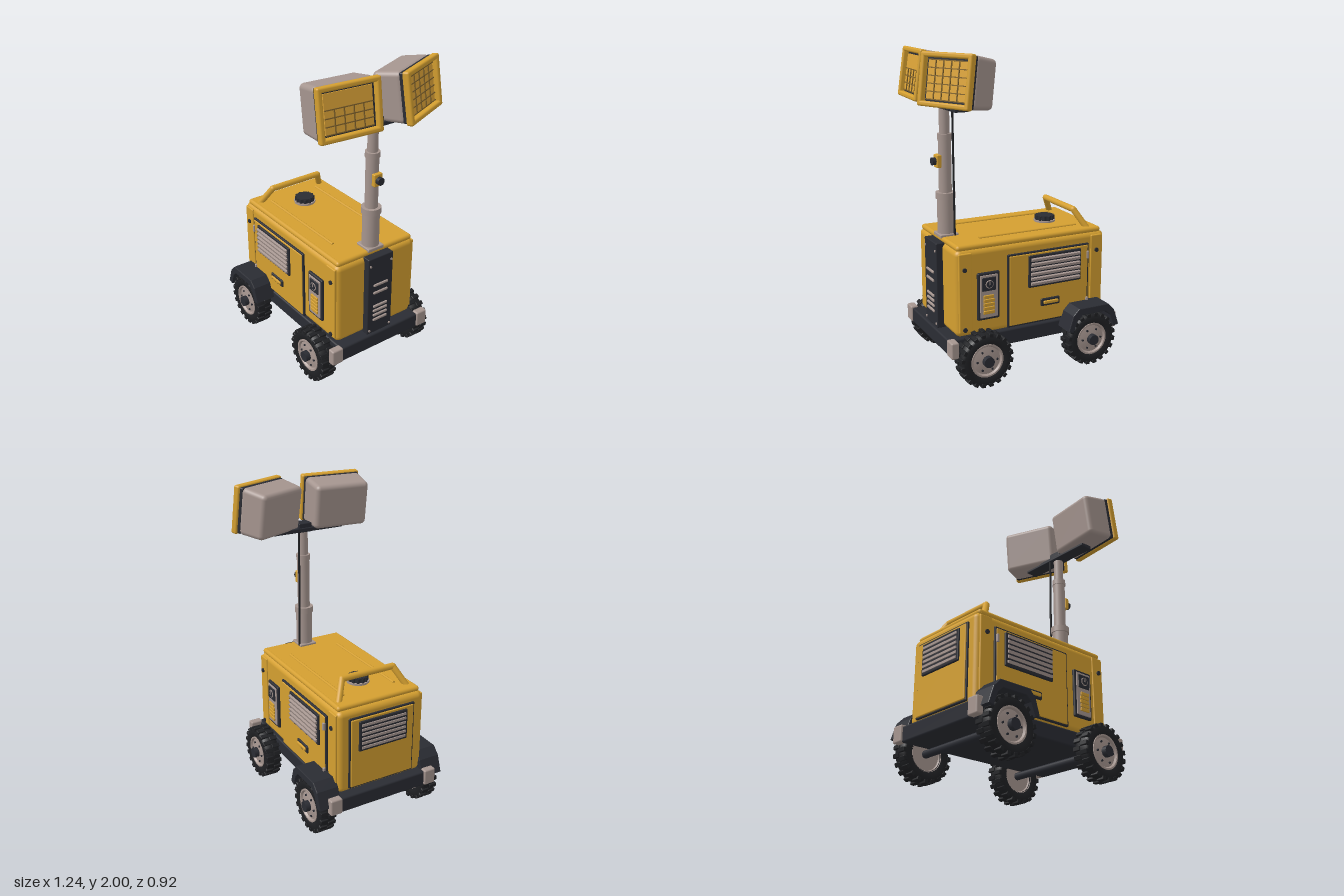
import * as THREE from 'three';
import { RoundedBoxGeometry } from 'three/addons/geometries/RoundedBoxGeometry.js';
import { toCreasedNormals } from 'three/addons/utils/BufferGeometryUtils.js';

const paint = (name, color) => Object.assign(new THREE.MeshStandardMaterial({ color }), { name });

export function createModel() {
  const yellow = paint('yellow paint', 0xd49f30);
  const grey = paint('warm grey', 0xa5958f);
  const dark = paint('dark frame', 0x2a2c33);
  const rubber = paint('rubber', 0x1f2023);
  const lens = paint('amber lens', 0xdca338);
  const bronze = paint('guard wire', 0x80622a);

  const model = new THREE.Group();
  model.name = 'lightTower';

  const add = (parent, name, geo, mat, x = 0, y = 0, z = 0) => {
    const m = new THREE.Mesh(geo, mat);
    m.name = name;
    m.position.set(x, y, z);
    parent.add(m);
    return m;
  };
  // Box given by its limits on each axis, rounded when r > 0
  const box = (parent, name, mat, [x0, x1], [y0, y1], [z0, z1], r = 0) => {
    const s = [x1 - x0, y1 - y0, z1 - z0];
    const geo = r ? new RoundedBoxGeometry(...s, 3, r) : new THREE.BoxGeometry(...s);
    return add(parent, name, geo, mat, (x0 + x1) / 2, (y0 + y1) / 2, (z0 + z1) / 2);
  };
  // Cylinder along a chosen axis
  const cyl = (parent, name, mat, r, len, x, y, z, axis = 'y', seg = 28) => {
    const m = add(parent, name, new THREE.CylinderGeometry(r, r, len, seg), mat, x, y, z);
    if (axis === 'x') m.rotation.z = Math.PI / 2;
    if (axis === 'z') m.rotation.x = Math.PI / 2;
    return m;
  };
  // Limits of a layer standing out on side s
  const layer = (s, a, b) => (s > 0 ? [a, b] : [-b, -a]);
  const tubePath = (pts, closed = false) => {
    const path = new THREE.CurvePath();
    const v = pts.map(p => new THREE.Vector3(...p));
    for (let i = 0; i < v.length - (closed ? 0 : 1); i++) path.add(new THREE.LineCurve3(v[i], v[(i + 1) % v.length]));
    return path;
  };

  // Chassis and bumper blocks
  box(model, 'chassis', dark, [-0.6, 0.545], [0.2, 0.3], [-0.31, 0.31], 0.012);
  for (const s of [1, -1]) {
    box(model, 'rearBumper', grey, [-0.613, -0.565], [0.205, 0.31], layer(s, 0.3, 0.38), 0.01);
    box(model, 'frontBumper', grey, [0.505, 0.555], [0.205, 0.31], layer(s, 0.3, 0.38), 0.01);
  }

  // Body and lid
  box(model, 'body', yellow, [-0.555, 0.485], [0.3, 0.848], [-0.3, 0.3], 0.035);
  box(model, 'lid', yellow, [-0.525, 0.47], [0.835, 0.875], [-0.28, 0.28], 0.015);
  for (const s of [1, -1]) {
    cyl(model, 'lidRim', yellow, 0.018, 0.97, -0.028, 0.858, s * 0.272, 'x', 12);
    cyl(model, 'lidRib', yellow, 0.009, 0.69, -0.065, 0.876, s * 0.18, 'x', 10);
  }
  for (const x of [-0.513, 0.457]) {
    cyl(model, 'lidRim', yellow, 0.018, 0.544, x, 0.858, 0, 'z', 12);
    for (const s of [1, -1]) add(model, 'lidCorner', new THREE.SphereGeometry(0.018, 12, 8), yellow, x, 0.858, s * 0.272);
  }

  // Lifting handle
  const hp = [[-0.455, 0.865, 0.24], [-0.39, 0.98, 0.18], [-0.39, 0.98, -0.18], [-0.455, 0.865, -0.24]].map(p => new THREE.Vector3(...p));
  for (let i = 0; i < 3; i++)
    add(model, 'handleBar', new THREE.TubeGeometry(new THREE.LineCurve3(hp[i], hp[i + 1]), 1, 0.02, 14), yellow);
  for (const p of hp) add(model, 'handleJoint', new THREE.SphereGeometry(0.02, 14, 10), yellow, p.x, p.y, p.z);

  // Filler cap
  cyl(model, 'fillerNeck', grey, 0.071, 0.014, -0.28, 0.88, 0);
  cyl(model, 'fillerCap', dark, 0.058, 0.032, -0.28, 0.9, 0);
  for (let i = 0; i < 12; i++) {
    const a = i * Math.PI / 6;
    cyl(model, 'capGrip', dark, 0.011, 0.028, -0.28 + 0.055 * Math.cos(a), 0.9, 0.055 * Math.sin(a), 'y', 8);
  }

  // Matching equipment on both long sides
  for (const s of [1, -1]) {
    const side = new THREE.Group();
    side.name = s > 0 ? 'frontSide' : 'backSide';
    model.add(side);
    const plate = (name, mat, x, y, a, b, r = 0) => box(side, name, mat, x, y, layer(s, a, b), r);
    plate('cornerPost', yellow, [-0.535, -0.45], [0.33, 0.83], 0.29, 0.308, 0.006);
    plate('cornerPost', yellow, [0.385, 0.47], [0.33, 0.83], 0.29, 0.308, 0.006);
    plate('doorSeal', dark, [-0.432, 0.148], [0.312, 0.784], 0.295, 0.313, 0.006);
    plate('door', yellow, [-0.422, 0.138], [0.322, 0.774], 0.3, 0.318, 0.006);
    for (const y of [0.71, 0.4]) plate('hinge', grey, [-0.426, -0.41], [y - 0.025, y + 0.025], 0.31, 0.328, 0.004);
    // Side grille
    plate('grilleFrame', dark, [-0.365, 0.01], [0.555, 0.762], 0.31, 0.33, 0.006);
    for (let i = 0; i < 6; i++) {
      const slat = plate('grilleSlat', grey, [-0.352, -0.004], [0.573 + i * 0.031, 0.59 + i * 0.031], 0.326, 0.342);
      slat.rotation.x = s * 0.3;
    }
    // Latch
    plate('latchPocket', dark, [-0.215, -0.08], [0.418, 0.468], 0.31, 0.328, 0.008);
    plate('latch', yellow, [-0.2, -0.095], [0.433, 0.454], 0.322, 0.338, 0.006);
    // Control panel
    plate('panelFrame', dark, [0.205, 0.352], [0.395, 0.697], 0.295, 0.317, 0.008);
    plate('panel', grey, [0.22, 0.338], [0.41, 0.682], 0.305, 0.322, 0.004);
    plate('display', dark, [0.234, 0.326], [0.583, 0.668], 0.315, 0.328, 0.004);
    cyl(side, 'gauge', grey, 0.026, 0.006, 0.28, 0.626, s * 0.329, 'z', 20);
    cyl(side, 'gaugeFace', dark, 0.021, 0.008, 0.28, 0.626, s * 0.33, 'z', 20);
    plate('needle', grey, [0.277, 0.283], [0.622, 0.644], 0.332, 0.336);
    for (let i = 0; i < 5; i++)
      plate('key', yellow, [0.25 - (i < 4 ? 0.005 : 0), 0.318], [0.435 + i * 0.025, 0.456 + i * 0.025], 0.316, 0.33, 0.003);
    for (const [x, y] of [[-0.49, 0.73], [0.435, 0.73], [0.435, 0.35], [-0.49, 0.35]])
      cyl(side, 'bolt', dark, 0.014, 0.014, x, y, s * 0.31, 'z', 12);
  }

  // End door with grille at -x
  box(model, 'endDoorSeal', dark, [-0.566, -0.54], [0.325, 0.8], [-0.23, 0.23], 0.006);
  box(model, 'endDoor', yellow, [-0.573, -0.545], [0.335, 0.79], [-0.22, 0.22], 0.006);
  box(model, 'endGrille', dark, [-0.584, -0.56], [0.575, 0.775], [-0.17, 0.17], 0.006);
  for (let i = 0; i < 6; i++)
    box(model, 'endSlat', grey, [-0.59, -0.578], [0.592 + i * 0.03, 0.607 + i * 0.03], [-0.155, 0.155]);

  // Mast housing panel at +x
  box(model, 'mastPanel', dark, [0.47, 0.528], [0.3, 0.85], [-0.095, 0.095], 0.006);
  for (const y of [0.655, 0.6, 0.5, 0.467, 0.434, 0.4])
    box(model, 'louvre', grey, [0.52, 0.538], [y - 0.008, y + 0.008], [-0.055, 0.055], 0.005);
  for (const y of [0.325, 0.8]) for (const s of [1, -1])
    cyl(model, 'panelBolt', grey, 0.008, 0.008, 0.529, y, s * 0.08, 'x', 10);

  // Telescopic mast
  const mx = 0.42;
  box(model, 'mastFoot', grey, [0.36, 0.48], [0.865, 0.888], [-0.06, 0.06], 0.006);
  const stages = [['mastLower', 0.053, 0.88, 1.14], ['lowerCollar', 0.061, 1.105, 1.145], ['mastMiddle', 0.04, 1.14, 1.5],
    ['middleCollar', 0.045, 1.47, 1.506], ['mastUpper', 0.032, 1.5, 1.68]];
  for (const [name, r, y0, y1] of stages) cyl(model, name, grey, r, y1 - y0, mx, (y0 + y1) / 2, 0);
  const cable = tubePath([[0.385, 0.87, -0.055], [0.385, 1.69, -0.045]]);
  add(model, 'cable', new THREE.TubeGeometry(cable, 2, 0.007, 8), rubber);
  box(model, 'switchBox', yellow, [0.452, 0.482], [1.3, 1.38], [-0.03, 0.03], 0.006);
  cyl(model, 'switchKnob', dark, 0.024, 0.028, 0.493, 1.34, 0, 'x', 16);
  box(model, 'crossbar', dark, [0.375, 0.465], [1.663, 1.69], [-0.27, 0.27], 0.006);
  box(model, 'mastHead', dark, [0.38, 0.46], [1.66, 1.72], [-0.045, 0.045], 0.006);

  // Flood lamps, built facing +x then yawed and tilted
  const lamp = (name, z, yaw, rows) => {
    const g = new THREE.Group();
    g.name = name;
    g.position.set(0.43, 1.835, z);
    g.rotation.set(0, yaw, 0.145, 'YZX');
    model.add(g);
    const shell = new RoundedBoxGeometry(0.19, 0.305, 0.385, 4, 0.03);
    const p = shell.attributes.position;
    for (let i = 0; i < p.count; i++) { // taper slightly to the back
      const k = 1 - 0.06 * (0.095 - p.getX(i)) / 0.19;
      p.setY(i, p.getY(i) * k);
      p.setZ(i, p.getZ(i) * k);
    }
    add(g, 'lampShell', shell, grey, -0.03, 0, 0);
    box(g, 'lampGasket', dark, [0.05, 0.082], [-0.147, 0.147], [-0.188, 0.188], 0.008);
    box(g, 'lens', lens, [0.07, 0.09], [-0.112, 0.112], [-0.153, 0.153]);
    for (const s of [1, -1]) {
      box(g, 'bezelRail', yellow, [0.074, 0.118], layer(s, 0.124, 0.155), [-0.2, 0.2], 0.012);
      box(g, 'bezelPost', yellow, [0.074, 0.118], [-0.155, 0.155], layer(s, 0.168, 0.2), 0.012);
    }
    const top = -0.112 + rows * 0.0448;
    for (let i = 0; i <= rows; i++) {
      const y = -0.112 + i * 0.0448;
      box(g, 'guardWire', bronze, [0.088, 0.096], [y - 0.003, y + 0.003], [-0.153, 0.153]);
    }
    for (let i = 1; i < 5; i++) {
      const w = -0.153 + i * 0.0612;
      box(g, 'guardWire', bronze, [0.088, 0.096], [-0.112, top], [w - 0.003, w + 0.003]);
    }
  };
  lamp('leftLamp', 0.242, -0.09, 3);
  lamp('rightLamp', -0.238, 0.4, 5);

  // Wheels: turned tyre and rim with tread blocks
  const lathe = (pts, crease) => toCreasedNormals(
    new THREE.LatheGeometry(pts.map(q => new THREE.Vector2(...q)), 40).rotateX(Math.PI / 2), crease);
  const tyreGeo = lathe([[0.1, -0.04], [0.115, -0.05], [0.15, -0.052], [0.162, -0.042], [0.167, 0],
    [0.162, 0.042], [0.15, 0.052], [0.115, 0.05], [0.1, 0.04]], 0.8);
  const rimGeo = lathe([[0, -0.03], [0.095, -0.03], [0.106, -0.046], [0.106, 0.05], [0.096, 0.05], [0.088, 0.038], [0.05, 0.046], [0, 0.046]], 0.5);
  const lugGeo = new RoundedBoxGeometry(0.028, 0.025, 0.052, 1, 0.004);
  for (const x of [-0.4, 0.34]) {
    cyl(model, 'axle', dark, 0.024, 0.7, x, 0.178, 0, 'z', 16);
    for (const s of [1, -1]) {
      const w = new THREE.Group();
      w.name = 'wheel';
      w.position.set(x, 0.176, s * 0.374);
      if (s < 0) w.rotation.y = Math.PI;
      model.add(w);
      add(w, 'tyre', tyreGeo, rubber);
      add(w, 'rim', rimGeo, grey);
      cyl(w, 'hub', dark, 0.034, 0.04, 0, 0, 0.058, 'z', 16);
      for (let i = 0; i < 6; i++) {
        const a = i * Math.PI / 3;
        cyl(w, 'wheelNut', dark, 0.007, 0.012, 0.066 * Math.cos(a), 0.066 * Math.sin(a), 0.044, 'z', 6);
      }
      for (let i = 0; i < 40; i++) {
        const a = i * Math.PI / 20;
        const lug = add(w, 'treadBlock', lugGeo, rubber, 0.162 * Math.sin(a), 0.162 * Math.cos(a), i % 2 ? 0.027 : -0.027);
        lug.rotation.z = -a;
      }
    }
  }

  // Mudguards over the rear wheels
  const guard = new THREE.Shape([[-0.18, 0.255], [-0.145, 0.355], [-0.1, 0.4], [0.11, 0.4], [0.15, 0.36], [0.18, 0.265],
    [0.155, 0.255], [0.125, 0.33], [0.09, 0.363], [-0.085, 0.363], [-0.122, 0.33], [-0.15, 0.25]].map(q => new THREE.Vector2(...q)));
  const guardGeo = new THREE.ExtrudeGeometry(guard, { depth: 0.137, bevelThickness: 0.006, bevelSize: 0.005, bevelSegments: 2 });
  for (const s of [1, -1]) add(model, 'mudguard', guardGeo, dark, -0.402, 0, s > 0 ? 0.302 : -0.439);

  return model;
}
